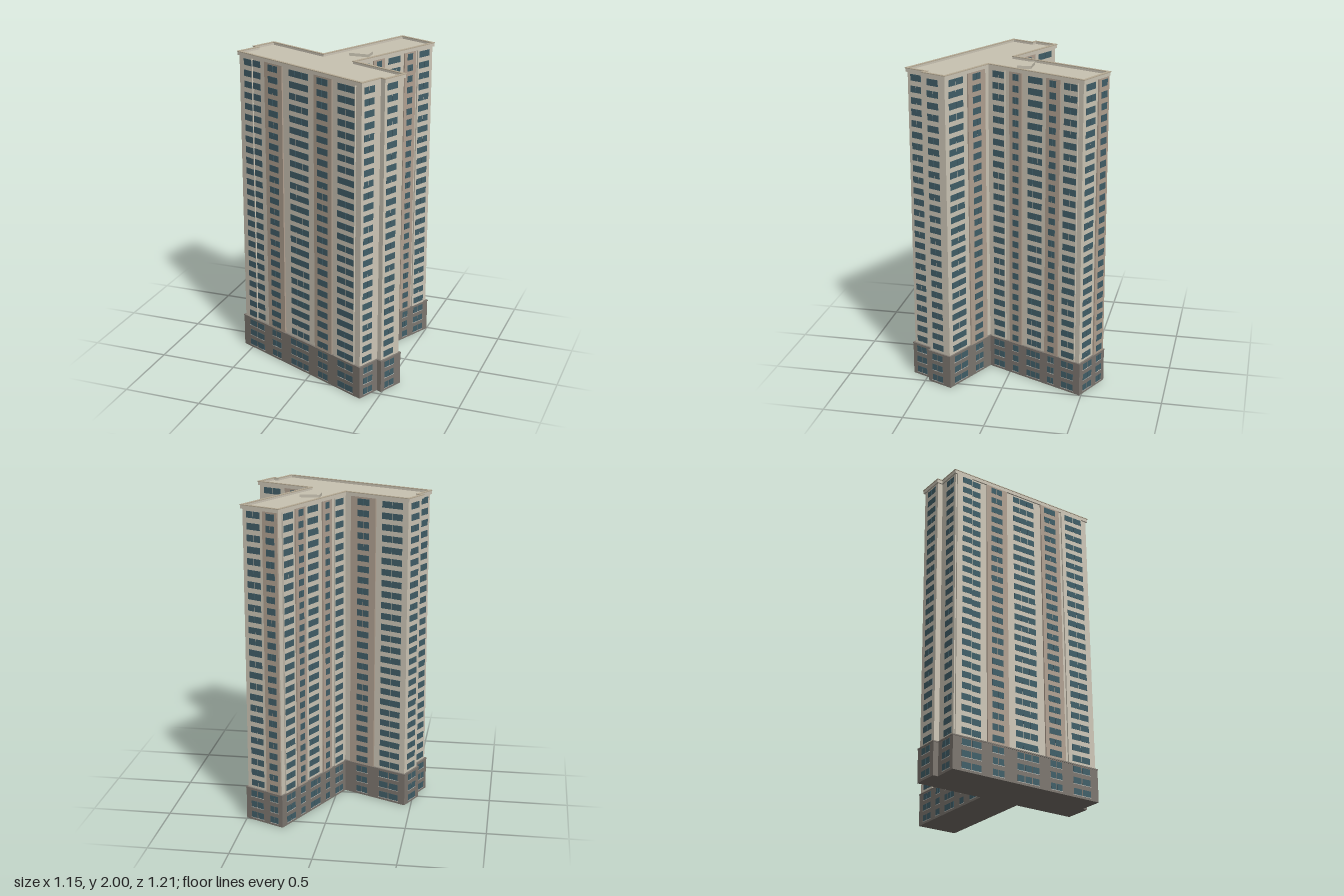
import * as THREE from 'three';
import { mergeGeometries } from 'three/addons/utils/BufferGeometryUtils.js';

const mat = (name, color) => new THREE.MeshStandardMaterial({ name, color });

// T-shaped footprint as [x, z], walked with the outside on the left of travel
const OUTLINE = [
  [-0.575, 0.155], [0.4, 0.606], [0.465, 0.466], [0.495, 0.48], [0.571, 0.315], [0.2, 0.142],
  [0.505, -0.49], [0.25, -0.608], [-0.052, 0.028], [-0.461, -0.16], [-0.538, 0.0], [-0.507, 0.015],
].map(([x, z]) => new THREE.Vector2(x, z));

const FLOORS = 28, FLOOR_H = 0.0706, PODIUM_FLOORS = 3, PODIUM_TOP = 0.212, ROOF_Y = 1.982;
const BODY_INSET = 0.012, PODIUM_INSET = 0.003, BAY = 0.009;

function inset(d) {
  const n = OUTLINE.length;
  const normal = (i) => {
    const t = OUTLINE[(i + 1) % n].clone().sub(OUTLINE[i % n]).normalize();
    return new THREE.Vector2(-t.y, t.x);
  };
  return OUTLINE.map((p, i) => {
    const a = normal(i + n - 1), b = normal(i);
    return p.clone().addScaledVector(a.clone().add(b), -d / (1 + a.dot(b)));
  });
}

// Vertical prism over the footprint, optionally hollow
function prism(d, y0, y1, holeInset) {
  const flip = (pts) => pts.map((p) => new THREE.Vector2(p.x, -p.y));
  const shape = new THREE.Shape(flip(inset(d)));
  if (holeInset) shape.holes.push(new THREE.Path(flip(inset(holeInset))));
  return new THREE.ExtrudeGeometry(shape, { depth: y1 - y0, bevelEnabled: false })
    .rotateX(-Math.PI / 2).translate(0, y0, 0);
}

// Box lying on facade `edge`, spanning fractions f0..f1 and offsets o0..o1 from the outline
function facadeBox(edge, f0, f1, y0, y1, o0, o1) {
  const p = OUTLINE[edge], q = OUTLINE[(edge + 1) % OUTLINE.length];
  const len = p.distanceTo(q), tx = (q.x - p.x) / len, tz = (q.y - p.y) / len;
  const m = (len * (f0 + f1)) / 2, o = (o0 + o1) / 2;
  return new THREE.BoxGeometry(len * (f1 - f0), y1 - y0, o1 - o0)
    .rotateY(Math.atan2(-tz, tx))
    .translate(p.x + tx * m - tz * o, (y0 + y1) / 2, p.y + tz * m + tx * o);
}

// Window groups [from, to, panes], coloured panels and projecting bays per facade
const longWing = {
  windows: [[0.04, 0.165, 2], [0.255, 0.32, 2], [0.41, 0.565, 3], [0.645, 0.715, 2], [0.795, 0.93, 2]],
  panels: [[0.22, 0.355], [0.61, 0.755]],
  bays: [[0.02, 0.17], [0.78, 0.935]],
};
const shortWing = {
  windows: [[0.11, 0.44, 2], [0.63, 0.82, 2]],
  panels: [[0.53, 0.93]],
  bays: [],
};
const mirrored = (f) => ({
  windows: f.windows.map(([a, b, n]) => [1 - b, 1 - a, n]),
  panels: f.panels.map(([a, b]) => [1 - b, 1 - a]),
  bays: f.bays.map(([a, b]) => [1 - b, 1 - a]),
});
const single = (a, b) => ({ windows: [[a, b, 2]], panels: [], bays: [] });
const FACADES = {
  0: {
    windows: [[0.056, 0.19, 2], [0.26, 0.34, 2], [0.425, 0.58, 3], [0.655, 0.74, 2], [0.815, 0.945, 2]],
    panels: [[0.23, 0.375], [0.63, 0.77]],
    bays: [[0.02, 0.125], [0.79, 0.947]],
  },
  1: single(0.21, 0.75),
  3: single(0.18, 0.66),
  4: shortWing,
  5: longWing,
  6: { windows: [[0.14, 0.49, 2], [0.66, 0.88, 2]], panels: [[0.57, 0.95]], bays: [] },
  7: mirrored(longWing),
  8: mirrored(shortWing),
  9: single(0.25, 0.78),
  11: single(0.25, 0.79),
};

export function createModel() {
  const model = new THREE.Group();
  model.name = 'apartmentTower';
  const wall = mat('beige wall', 0xd0c9b9);
  const panel = mat('taupe panel', 0xb3a393);
  const stone = mat('grey podium', 0x7e7871);
  const glass = mat('blue grey glass', 0x42606a);
  const roofMat = mat('roof', 0xc9c3b2);
  const trim = mat('coping', 0xb8ad97);
  const sillMat = mat('pale sill', 0xc4c2bb);
  const add = (name, geometry, material) => {
    const mesh = new THREE.Mesh(geometry, material);
    mesh.name = name;
    model.add(mesh);
  };

  // Main volumes
  add('towerWalls', prism(BODY_INSET, 0.2, ROOF_Y - 0.004), wall);
  add('podium', prism(PODIUM_INSET, 0, PODIUM_TOP - 0.006), stone);
  add('podiumLedge', prism(0, PODIUM_TOP - 0.006, PODIUM_TOP + 0.002), stone);
  add('roofDeck', prism(0.008, ROOF_Y - 0.004, ROOF_Y), roofMat);
  add('parapet', prism(0.003, 1.974, 1.995, 0.014), wall);
  add('parapetCoping', prism(0, 1.995, 2, 0.017), trim);
  add('roofHatch', new THREE.BoxGeometry(0.125, 0.018, 0.085).translate(0.153, ROOF_Y + 0.009, -0.078), roofMat);

  // Facade details
  const panels = [], bays = [], panes = [], sills = [];
  for (const [key, f] of Object.entries(FACADES)) {
    const e = Number(key);
    const strip = ([a, b]) => facadeBox(e, a, b, PODIUM_TOP, 1.974, -BODY_INSET - 0.005, -BODY_INSET + BAY);
    panels.push(...f.panels.map(strip));
    bays.push(...f.bays.map(strip));
    for (const [a, b, count] of f.windows) {
      const step = (b - a) / count;
      for (let i = 0; i < FLOORS; i++) {
        const low = i < PODIUM_FLOORS;
        const y = (i + 0.5) * FLOOR_H + 0.002;
        for (let k = 0; k < count; k++) {
          const p0 = a + k * step, p1 = p0 + step, mid = (p0 + p1) / 2;
          const raised = [...f.panels, ...f.bays].some(([s, t]) => mid > s && mid < t);
          const base = low ? -PODIUM_INSET : raised ? -BODY_INSET + BAY : -BODY_INSET;
          const gap = step * (low ? 0.06 : 0.025);
          panes.push(facadeBox(e, p0 + gap, p1 - gap, y - 0.02, y + 0.02, base - 0.002, base + 0.0015));
        }
        if (low) sills.push(facadeBox(e, a, b, y - 0.0235, y - 0.02, -PODIUM_INSET - 0.002, -PODIUM_INSET + 0.002));
      }
    }
  }
  add('facadePanels', mergeGeometries(panels), panel);
  add('projectingBays', mergeGeometries(bays), wall);
  add('windows', mergeGeometries(panes), glass);
  add('podiumSills', mergeGeometries(sills), sillMat);
  return model;
}
